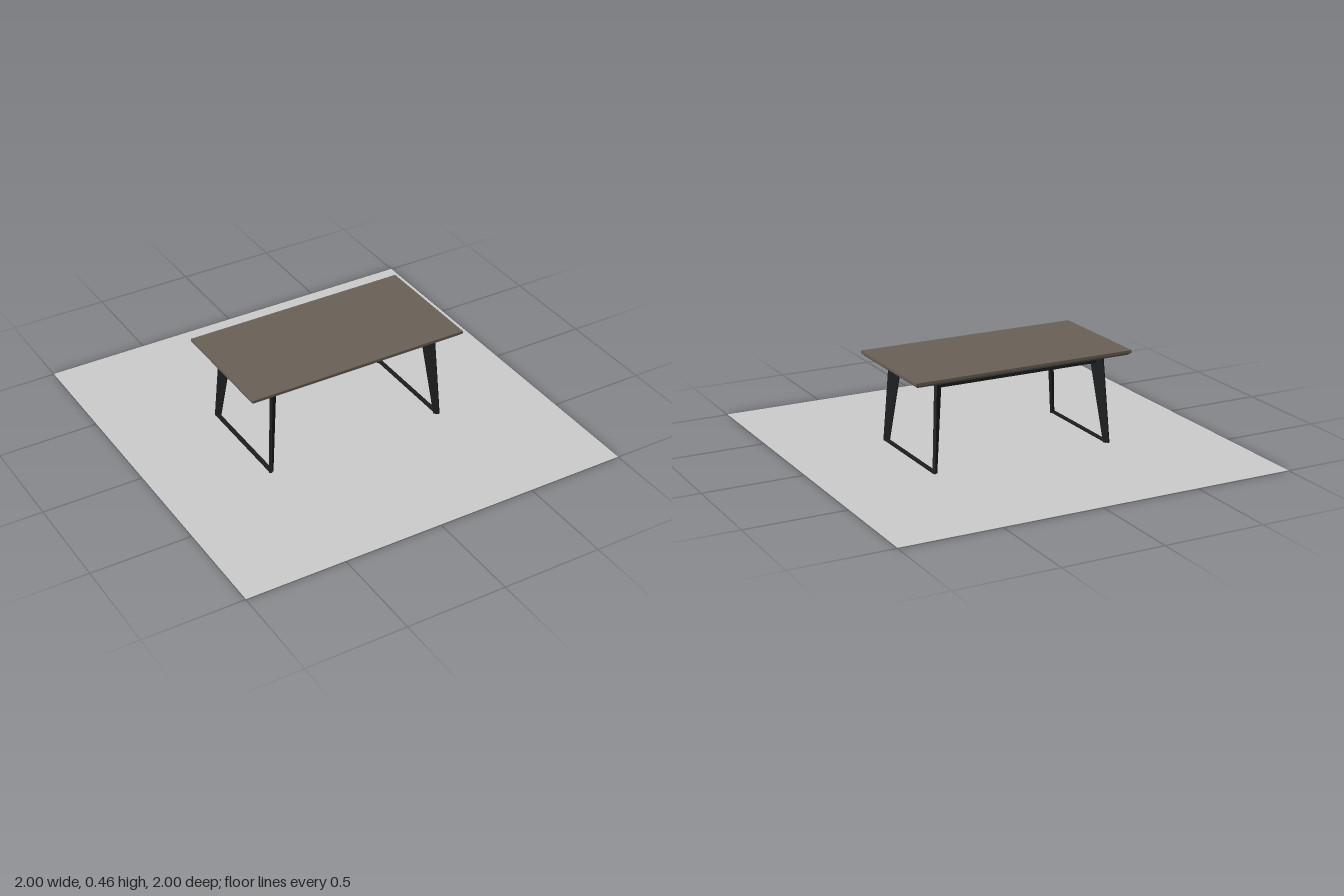
import * as THREE from 'three';

const topMat = new THREE.MeshStandardMaterial({ color: 0x6a6158 });
topMat.name = 'greyBrownWood';
const metalMat = new THREE.MeshStandardMaterial({ color: 0x1c1d1f });
metalMat.name = 'blackMetal';
const floorMat = new THREE.MeshStandardMaterial({ color: 0xcccccc, side: THREE.DoubleSide });
floorMat.name = 'lightGrey';

export function createModel() {
  const model = new THREE.Group();
  model.name = 'table';

  const add = (name, geometry, material, x, y, z) => {
    const mesh = new THREE.Mesh(geometry, material);
    mesh.name = name;
    mesh.position.set(x, y, z);
    model.add(mesh);
    return mesh;
  };

  // Thin square sheet under the table
  add('floorSheet', new THREE.PlaneGeometry(2, 2).rotateX(-Math.PI / 2), floorMat, 0, 0.002, 0);

  // Table top, lower half of the edge bevelled inward
  const slab = new THREE.BoxGeometry(1.14, 0.026, 0.6, 1, 2, 1).toNonIndexed();
  const p = slab.attributes.position;
  for (let i = 0; i < p.count; i++) {
    if (p.getY(i) < -0.005) {
      p.setX(i, p.getX(i) - Math.sign(p.getX(i)) * 0.015);
      p.setZ(i, p.getZ(i) - Math.sign(p.getZ(i)) * 0.015);
    }
  }
  slab.computeVertexNormals();
  add('tableTop', slab, topMat, 0, 0.447, 0);

  // Tapered leg plate, set diagonally at each corner
  const t = 0.014;
  const profile = new THREE.Shape([
    new THREE.Vector2(0.037, 0),
    new THREE.Vector2(0, 0.435),
    new THREE.Vector2(-0.066, 0.435),
    new THREE.Vector2(-0.06, 0.4),
    new THREE.Vector2(0.008, 0),
  ]);
  const legGeo = new THREE.ExtrudeGeometry(profile, { depth: t, bevelEnabled: false }).translate(0, 0, -t / 2);
  for (const sx of [-1, 1]) {
    for (const sz of [-1, 1]) {
      const leg = add('leg', legGeo, metalMat, sx * 0.445, 0, sz * 0.247);
      leg.rotation.y = Math.atan2(-sz, sx);
    }
  }

  // Apron rails and floor bars
  for (const s of [-1, 1]) {
    add('longRail', new THREE.BoxGeometry(0.85, 0.036, 0.014), metalMat, 0, 0.417, s * 0.222);
    add('shortRail', new THREE.BoxGeometry(0.014, 0.036, 0.444), metalMat, s * 0.42, 0.417, 0);
    add('floorBar', new THREE.BoxGeometry(0.02, 0.01, 0.54), metalMat, s * 0.462, 0.005, 0);
  }

  return model;
}
